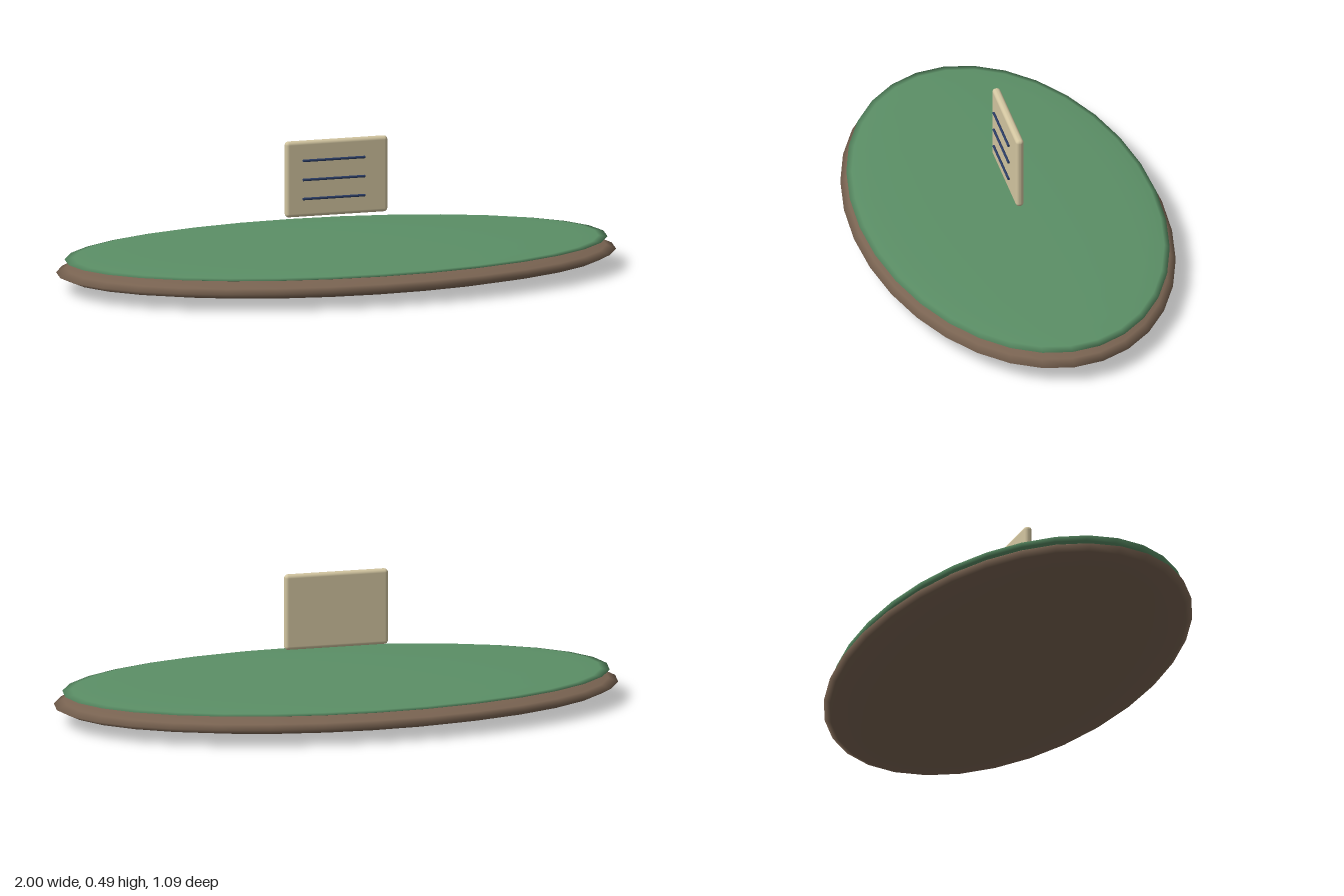
import * as THREE from 'three';
import { RoundedBoxGeometry } from 'three/addons/geometries/RoundedBoxGeometry.js';

const material = (name, color) => {
  const m = new THREE.MeshStandardMaterial({ color });
  m.name = name;
  return m;
};

export function createModel() {
  const group = new THREE.Group();
  const soil = material('soil brown', 0x7a6452);
  const grass = material('grass green', 0x5b8f66);
  const board = material('board cream', 0xd2c5a0);
  const ink = material('ink navy', 0x2b3d66);

  const add = (name, geometry, mat, x, y, z) => {
    const mesh = new THREE.Mesh(geometry, mat);
    mesh.name = name;
    mesh.position.set(x, y, z);
    group.add(mesh);
    return mesh;
  };

  // Two flattened spheres: soil below, a thin lens of grass on top
  const disc = new THREE.SphereGeometry(1, 32, 12);
  add('soilBase', disc, soil, 0, 0.06, 0).scale.set(1, 0.06, 0.545);
  add('grassTop', disc, grass, 0, 0.104, 0).scale.set(0.97, 0.0185, 0.525);

  // Floating sign with softly rounded edges
  add('signBoard', new RoundedBoxGeometry(0.37, 0.266, 0.028, 3, 0.0125), board, 0, 0.355, 0);

  // Three thin rods as ruled lines, just in front of the sign
  const rod = new THREE.CylinderGeometry(0.0045, 0.0045, 0.225, 8).rotateZ(Math.PI / 2);
  for (const y of [0.421, 0.354, 0.287]) add('signLine', rod, ink, -0.014, y, 0.021);

  return group;
}
